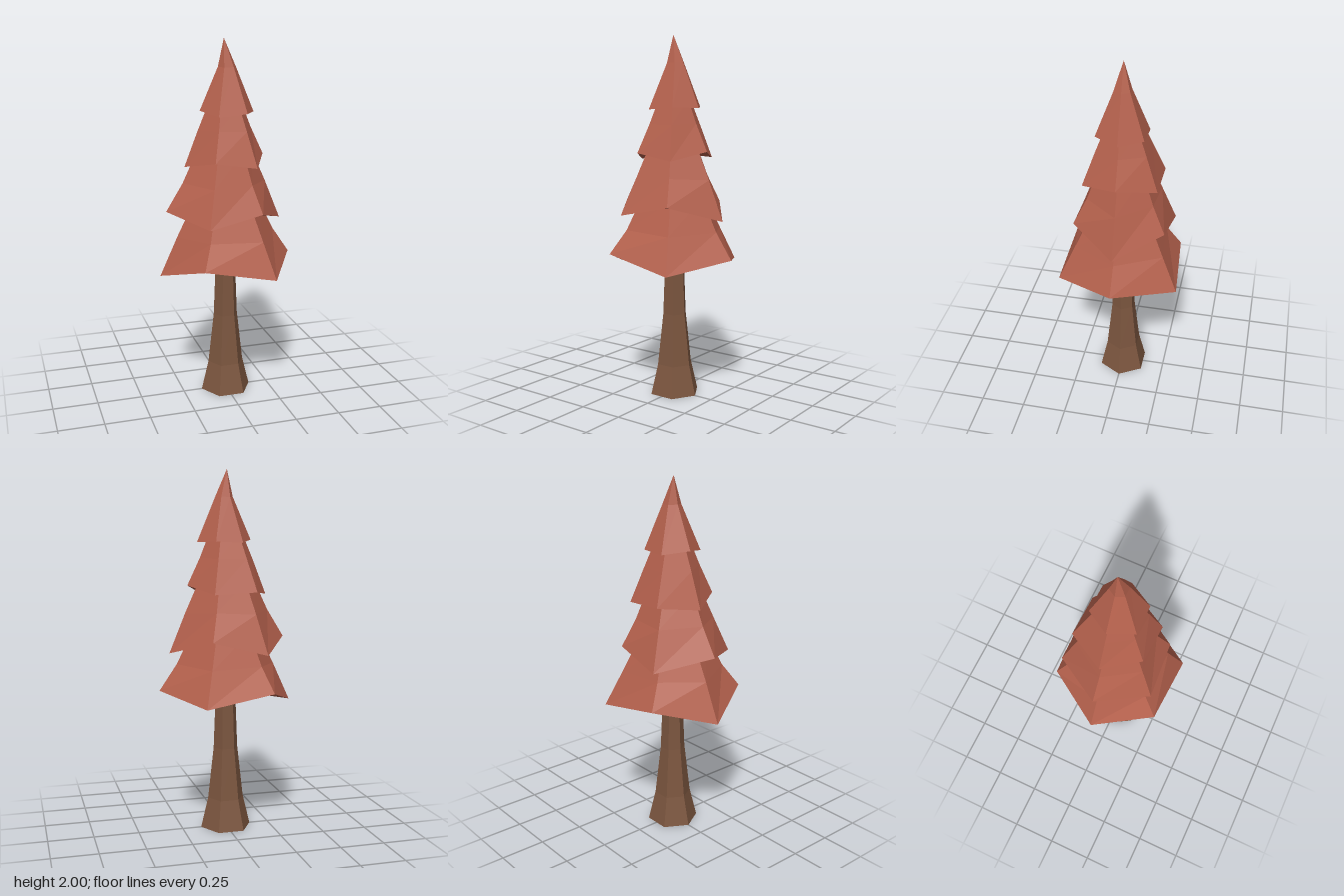
import * as THREE from 'three';

// Join a chain of six-sided rings into a faceted skin, first ring lowest
function loft(rings) {
  const pos = [];
  for (let i = 0; i < rings.length - 1; i++) {
    const a = rings[i], b = rings[i + 1];
    for (let k = 0; k < 6; k++) {
      const n = (k + 1) % 6;
      pos.push(...a[n], ...a[k], ...b[k], ...a[n], ...b[k], ...b[n]);
    }
  }
  const g = new THREE.BufferGeometry();
  g.setAttribute('position', new THREE.Float32BufferAttribute(pos, 3));
  g.computeVertexNormals();
  return g;
}

const point = (x, y, z) => Array.from({ length: 6 }, () => [x, y, z]);

// Regular hexagon with corners on +x and -x
const hexagon = (r, y) => Array.from({ length: 6 }, (_, k) =>
  [r * Math.cos(k * Math.PI / 3), y, r * Math.sin(k * Math.PI / 3)]);

const meanHeight = rim => rim.reduce((sum, p) => sum + p[1], 0) / 6;

// Shrink a rim and move it to height y, keeping part of its unevenness
const shrink = (rim, s, y, keep = 0.15, dx = 0) => {
  const mean = meanHeight(rim);
  return rim.map(p => [p[0] * s + dx, y + (p[1] - mean) * keep, p[2] * s]);
};

// Rim corners run: right, front right, front left, left, back left, back right
const TIERS = [
  {
    rim: [[0.375, 0.80, 0], [0.187, 0.742, 0.332], [-0.205, 0.82, 0.318],
      [-0.375, 0.718, 0], [-0.19, 0.808, -0.303], [0.187, 0.747, -0.333]],
    mid: [0.74, 0.94], top: [0.5, 1.12],
  },
  {
    rim: [[0.318, 1.005, 0], [0.134, 1.09, 0.25], [-0.163, 1.03, 0.27],
      [-0.337, 1.082, 0.005], [-0.163, 1.01, -0.27], [0.134, 1.085, -0.25]],
    mid: [0.72, 1.23], top: [0.48, 1.4],
  },
  {
    rim: [[0.215, 1.375, 0], [0.118, 1.33, 0.2], [-0.11, 1.366, 0.19],
      [-0.23, 1.322, -0.003], [-0.12, 1.344, -0.208], [0.112, 1.333, -0.203]],
    mid: [0.67, 1.52], top: [0.43, 1.65],
  },
  {
    rim: [[0.16, 1.608, 0], [0.083, 1.612, 0.133], [-0.075, 1.6, 0.133],
      [-0.143, 1.622, 0], [-0.063, 1.605, -0.13], [0.085, 1.612, -0.125]],
    mid: [0.33, 1.85],
  },
];

export function createModel() {
  const tree = new THREE.Group();
  tree.name = 'tree';
  const foliage = new THREE.MeshStandardMaterial({ color: 0xb3604c, flatShading: true });
  foliage.name = 'russet foliage';
  const bark = new THREE.MeshStandardMaterial({ color: 0x7c563f, flatShading: true });
  bark.name = 'brown bark';

  // Flared trunk
  const trunk = new THREE.Mesh(loft([
    point(0, 0, 0), hexagon(0.143, 0), hexagon(0.102, 0.17),
    hexagon(0.069, 0.46), hexagon(0.055, 0.82), point(0, 0.82, 0),
  ]), bark);
  trunk.name = 'trunk';
  tree.add(trunk);

  // Stacked skirts of foliage with nearly level undersides
  TIERS.forEach(({ rim, mid, top }, i) => {
    const floor = meanHeight(rim) + 0.01;
    const upper = top
      ? [shrink(rim, ...mid), shrink(rim, ...top), point(0, top[1], 0)]
      : [shrink(rim, ...mid, 0.15, 0.006), point(-0.008, 2, 0)];
    const mesh = new THREE.Mesh(loft([
      point(0, floor, 0), shrink(rim, 0.6, floor, 0.3), rim, ...upper,
    ]), foliage);
    mesh.name = `foliageTier${i + 1}`;
    tree.add(mesh);
  });

  return tree;
}
